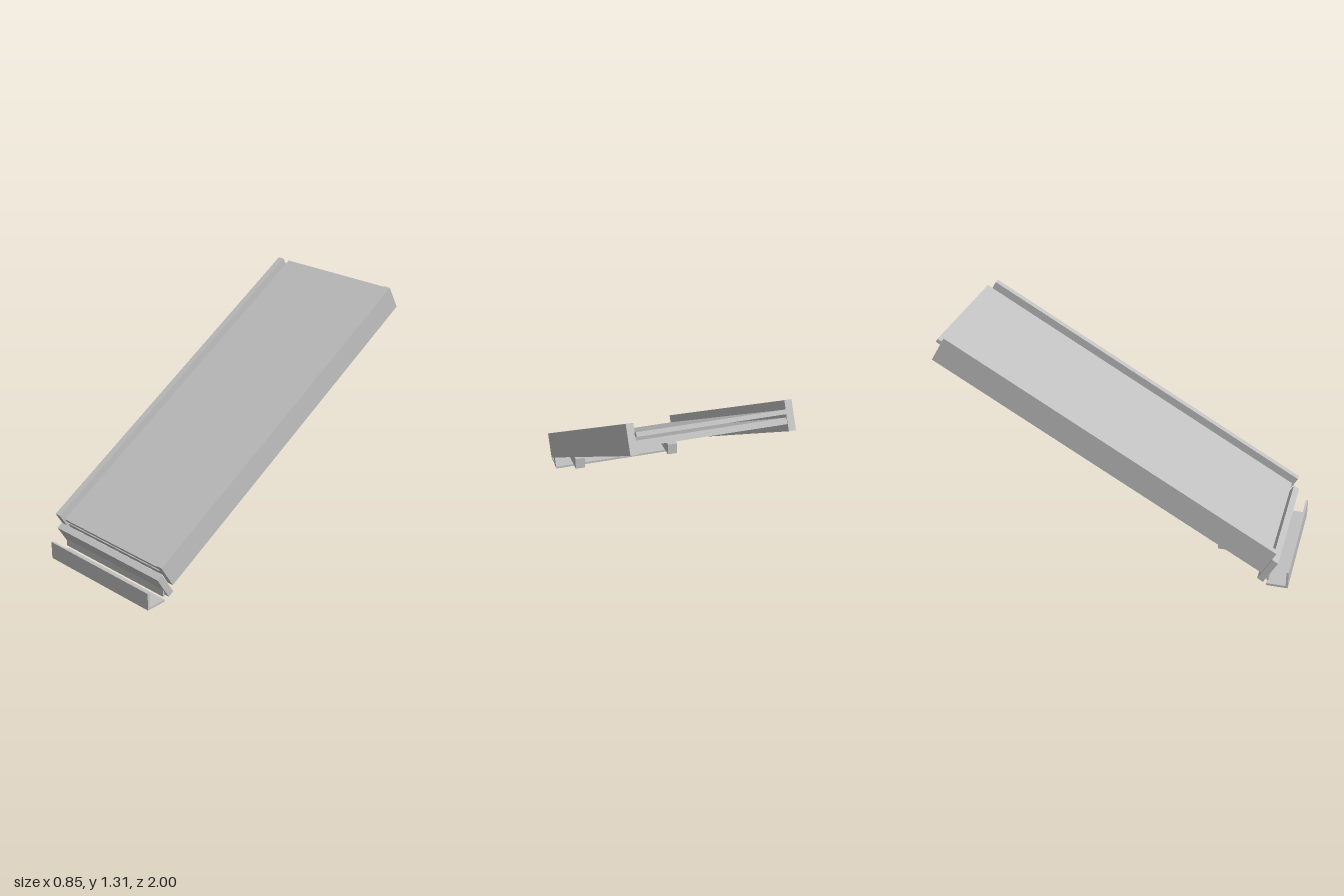
import * as THREE from 'three';

export function createModel() {
  const model = new THREE.Group();
  model.name = 'inclinedRamp';
  const grey = new THREE.MeshStandardMaterial({ color: 0xc0c0c0 });
  grey.name = 'plainGrey';

  // box given by its limits on each axis
  function box(parent, name, [x0, x1], [y0, y1], [z0, z1]) {
    const geometry = new THREE.BoxGeometry(x1 - x0, y1 - y0, z1 - z0);
    const mesh = new THREE.Mesh(geometry, grey);
    mesh.name = name;
    mesh.position.set((x0 + x1) / 2, (y0 + y1) / 2, (z0 + z1) / 2);
    parent.add(mesh);
  }

  // sloping bed: local z runs down the slope, local y is square to it
  const bed = new THREE.Group();
  bed.name = 'slopingBed';
  bed.rotation.x = Math.PI / 6;
  model.add(bed);

  const inner = [-0.39, 0.39];
  box(bed, 'leftRail', [0.388, 0.426], [0.517, 0.672], [-1.45, 0.686]);
  box(bed, 'rightRail', [-0.426, -0.388], [0.517, 0.672], [-1.45, 0.686]);
  box(bed, 'deck', inner, [0.603, 0.626], [-1.482, 0.674]);
  box(bed, 'underPlate', inner, [0.553, 0.586], [-1.445, 0.674]);

  // board across the foot of the slope
  box(bed, 'footBoard', [-0.404, 0.404], [0.456, 0.611], [0.695, 0.733]);

  // level angle strip in front of the foot
  box(model, 'stripFront', inner, [0, 0.102], [0.988, 1]);
  box(model, 'stripFloor', inner, [0, 0.013], [0.88, 0.99]);
  box(model, 'stripLip', inner, [0.035, 0.1], [0.88, 0.891]);

  // level supports under the bed
  for (const [side, x] of [['left', 0.3], ['right', -0.3]]) {
    box(model, side + 'Support', [x - 0.03, x + 0.03], [0.155, 0.225], [0.592, 0.815]);
  }
  return model;
}
